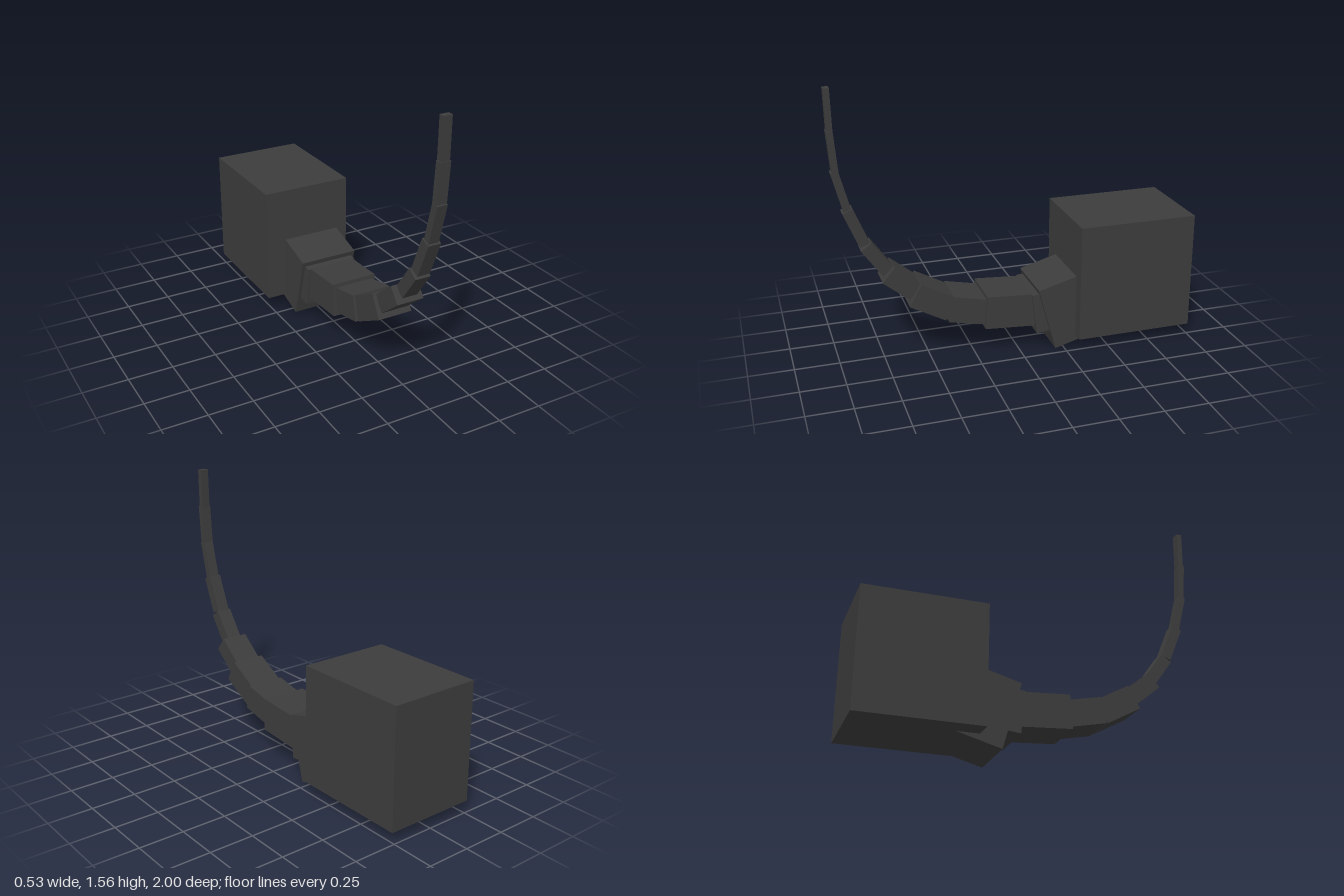
import * as THREE from 'three';

export function createModel() {
  const model = new THREE.Group();
  const charcoal = new THREE.MeshStandardMaterial({ color: 0x3c3c3c });
  charcoal.name = 'charcoal';

  // Large block at the back
  const block = new THREE.Mesh(new THREE.BoxGeometry(0.53, 0.675, 0.68), charcoal);
  block.name = 'bodyBlock';
  block.position.set(0, 0.408, -0.66);
  model.add(block);

  // Tail: tapering boxes, [z, y] of the back end, [z, y] of the front end, width, thickness
  const tail = new THREE.Group();
  tail.name = 'tail';
  tail.position.x = 0.026;
  const segments = [
    [-0.497, 0.283, -0.150, 0.188, 0.344, 0.384],
    [-0.280, 0.245, -0.081, 0.222, 0.305, 0.238],
    [-0.100, 0.243, 0.195, 0.264, 0.272, 0.193],
    [0.190, 0.262, 0.390, 0.305, 0.230, 0.150],
    [0.385, 0.300, 0.585, 0.410, 0.202, 0.143],
    [0.579, 0.420, 0.724, 0.538, 0.160, 0.104],
    [0.718, 0.545, 0.830, 0.702, 0.090, 0.072],
    [0.834, 0.710, 0.917, 0.911, 0.074, 0.060],
    [0.914, 0.907, 0.971, 1.127, 0.060, 0.042],
    [0.966, 1.125, 0.983, 1.345, 0.060, 0.035],
    [0.981, 1.340, 0.985, 1.567, 0.050, 0.032],
  ];
  segments.forEach(([z0, y0, z1, y1, width, thickness], i) => {
    const length = Math.hypot(z1 - z0, y1 - y0);
    const segment = new THREE.Mesh(new THREE.BoxGeometry(width, thickness, length), charcoal);
    segment.name = `tailSegment${i + 1}`;
    segment.position.set(0, (y0 + y1) / 2, (z0 + z1) / 2);
    segment.rotation.x = -Math.atan2(y1 - y0, z1 - z0);
    tail.add(segment);
  });
  model.add(tail);
  return model;
}
